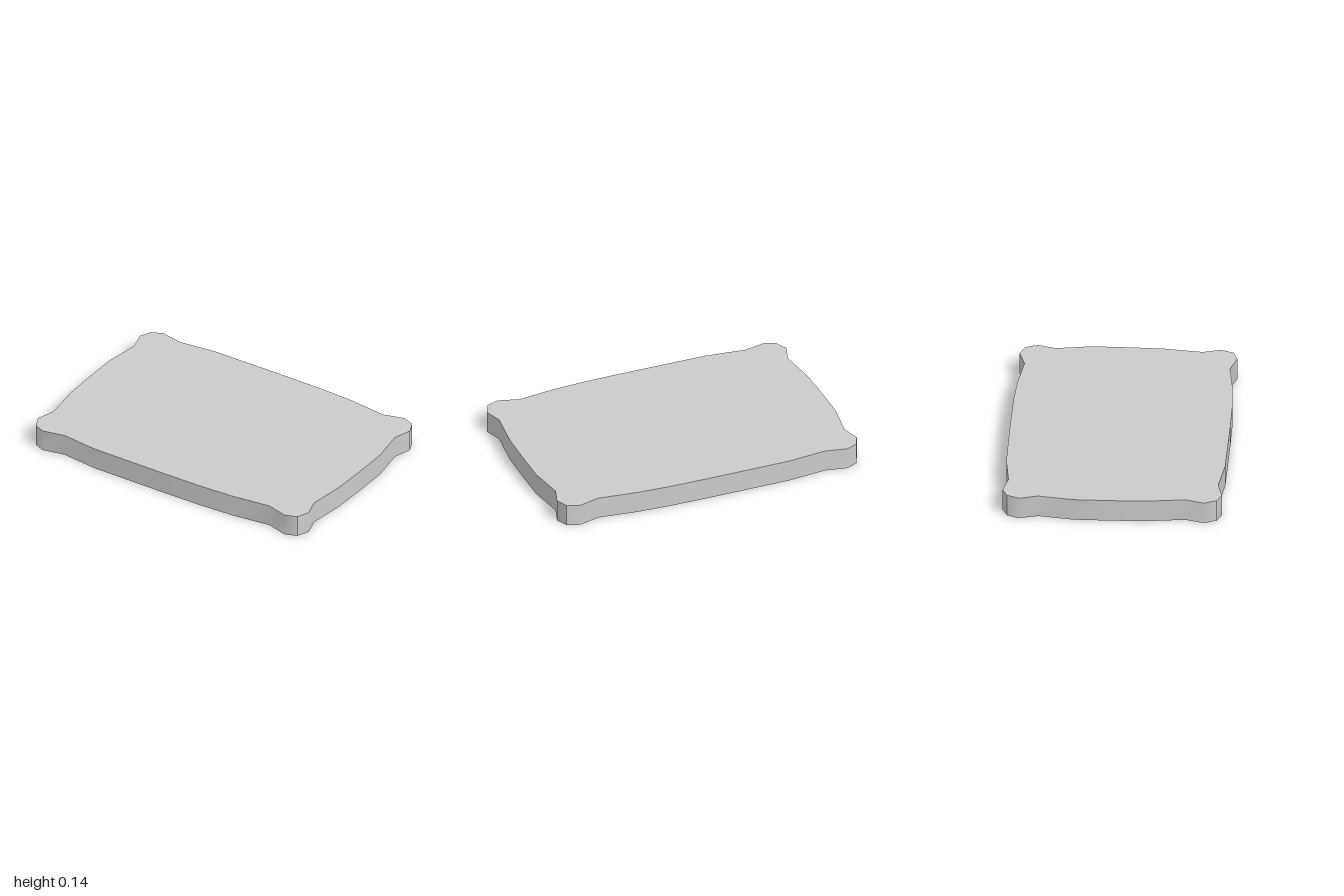
import * as THREE from 'three';

const HEIGHT = 0.14;

// Outline as four [x, z] edges, each running corner to corner, counter-clockwise from above
const EDGES = {
  frontWall: [[-0.965, 0.647], [-0.895, 0.677], [-0.755, 0.647], [-0.51, 0.676], [0, 0.678], [0.27, 0.676],
    [0.5, 0.665], [0.755, 0.634], [0.888, 0.672], [0.967, 0.643]],
  rightWall: [[0.967, 0.643], [1, 0.565], [0.965, 0.455], [0.995, 0.21], [1, 0], [1, -0.235],
    [0.964, -0.457], [1, -0.57], [0.967, -0.645]],
  backWall: [[0.967, -0.645], [0.888, -0.675], [0.755, -0.638], [0.5, -0.668], [0.27, -0.679], [0, -0.681],
    [-0.51, -0.679], [-0.755, -0.652], [-0.895, -0.68], [-0.967, -0.648]],
  leftWall: [[-0.967, -0.648], [-1, -0.575], [-0.965, -0.457], [-1, -0.235], [-1, 0], [-0.995, 0.21],
    [-0.963, 0.455], [-1, 0.57], [-0.965, 0.647]],
};

// Smooth-shaded upright strip along one edge, leaving the corners sharp
function wallGeometry(points) {
  const position = [];
  const index = [];
  points.forEach(([x, z], i) => {
    position.push(x, 0, z, x, HEIGHT, z);
    if (i > 0) {
      const a = 2 * (i - 1);
      index.push(a, a + 2, a + 3, a, a + 3, a + 1);
    }
  });
  const geometry = new THREE.BufferGeometry();
  geometry.setAttribute('position', new THREE.Float32BufferAttribute(position, 3));
  geometry.setIndex(index);
  geometry.computeVertexNormals();
  return geometry;
}

// Flat face filling the outline; side is 1 for the top and -1 for the underside
function capGeometry(side) {
  const outline = Object.values(EDGES).flatMap((edge) => edge.slice(0, -1));
  const shape = new THREE.Shape(outline.map(([x, z]) => new THREE.Vector2(x, -side * z)));
  return new THREE.ShapeGeometry(shape).rotateX(-side * Math.PI / 2);
}

export function createModel() {
  const group = new THREE.Group();
  group.name = 'slab';
  const material = new THREE.MeshStandardMaterial({ color: 0xcccccc });
  const add = (name, geometry) => {
    const mesh = new THREE.Mesh(geometry, material);
    mesh.name = name;
    group.add(mesh);
    return mesh;
  };

  // Side walls
  for (const [name, points] of Object.entries(EDGES)) add(name, wallGeometry(points));

  // Top and underside
  add('topFace', capGeometry(1)).position.y = HEIGHT;
  add('bottomFace', capGeometry(-1));

  return group;
}
